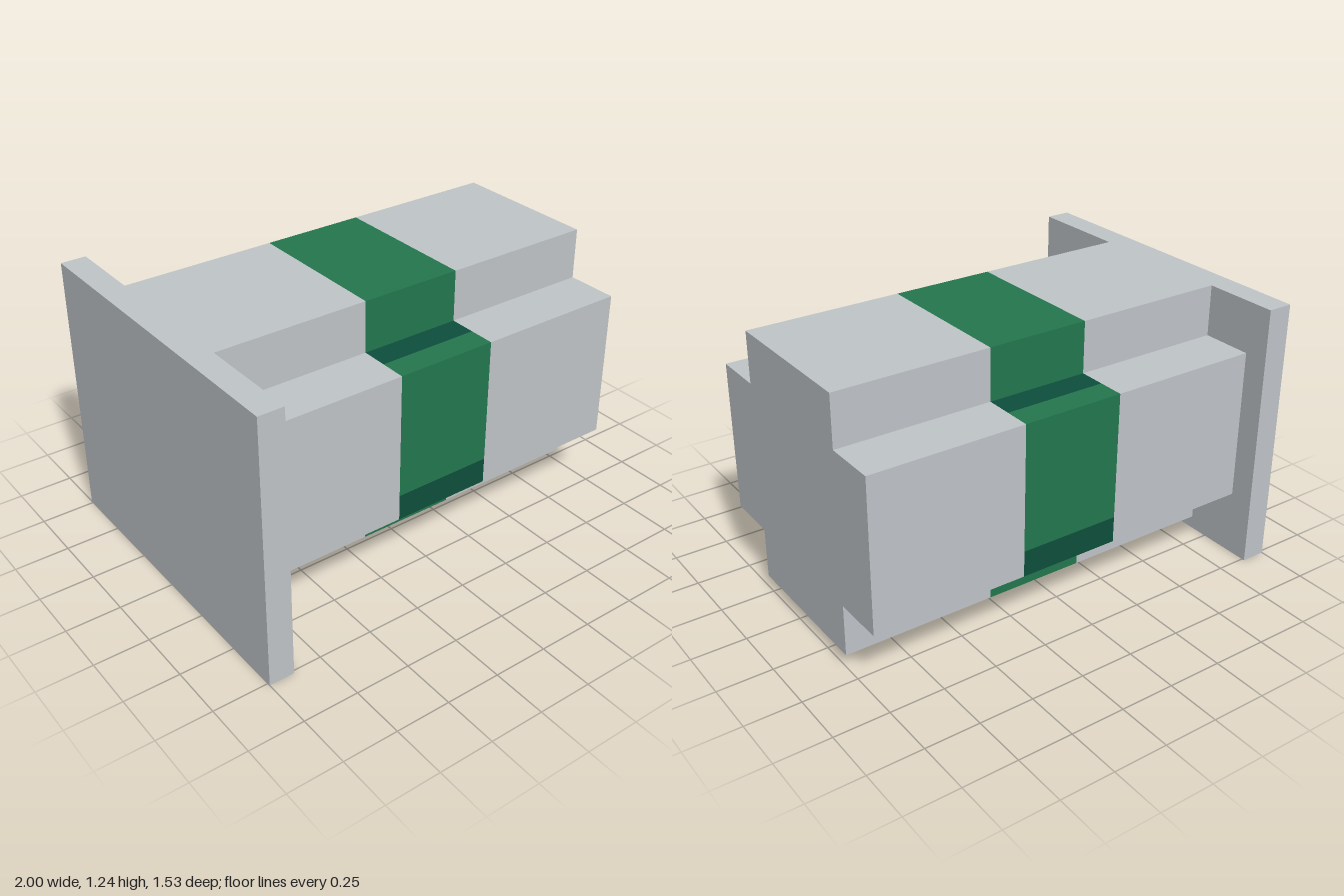
import * as THREE from 'three';

const material = (name, color) => {
  const m = new THREE.MeshStandardMaterial({ color });
  m.name = name;
  return m;
};

// Cross-section edges, counter-clockwise: end point (u = -z, y) and whether the band is dark there
const START = [-0.29, 0.06];
const EDGES = [
  [0.41, 0.06, 1], [0.41, 0.18, 0], [0.41, 0.3, 1], [0.65, 0.3, 1], [0.65, 0.42, 1],
  [0.65, 1, 0], [0.53, 1, 0], [0.41, 1, 1], [0.41, 1.235, 0], [-0.29, 1.235, 0],
  [-0.29, 1, 0], [-0.41, 1, 1], [-0.53, 1, 0], [-0.53, 0.42, 0], [-0.53, 0.3, 1],
  [-0.29, 0.3, 1], [-0.29, 0.18, 1], [-0.29, 0.06, 0],
];
const BAND = [-0.18, 0.29];

// Solid length of the cross-shaped body between two x positions
function bodySection(x0, x1) {
  const outline = EDGES.map(([u, y]) => new THREE.Vector2(u, y));
  const geo = new THREE.ExtrudeGeometry(new THREE.Shape(outline), { depth: x1 - x0, bevelEnabled: false });
  return geo.rotateY(Math.PI / 2).translate(x0, 0, 0);
}

// Faces of the band that share one shade
function bandFaces(dark) {
  const [x0, x1] = BAND;
  const pos = [];
  let [u, y] = START;
  for (const [u2, y2, shade] of EDGES) {
    if (shade === dark) {
      const a = [x0, y, -u], b = [x0, y2, -u2], c = [x1, y2, -u2], d = [x1, y, -u];
      pos.push(...a, ...b, ...c, ...a, ...c, ...d);
    }
    u = u2;
    y = y2;
  }
  const geo = new THREE.BufferGeometry();
  geo.setAttribute('position', new THREE.Float32BufferAttribute(pos, 3));
  geo.computeVertexNormals();
  return geo;
}

export function createModel() {
  const grey = material('light grey', 0xc0c5c9);
  const green = material('green', 0x23774f);
  const darkGreen = material('dark green', 0x0e4f3c);

  const model = new THREE.Group();
  model.name = 'flangedBlock';
  const add = (name, geo, mat) => {
    const mesh = new THREE.Mesh(geo, mat);
    mesh.name = name;
    model.add(mesh);
  };

  // End plate
  add('endPlate', new THREE.BoxGeometry(0.115, 1.235, 1.526).translate(-0.9425, 0.6175, 0), grey);

  // Body on either side of the coloured band
  add('bodyNearPlate', bodySection(-0.885, BAND[0]), grey);
  add('bodyFreeEnd', bodySection(BAND[1], 1), grey);

  // Two-tone band around the body
  add('band', bandFaces(0), green);
  add('bandDarkAreas', bandFaces(1), darkGreen);

  return model;
}
